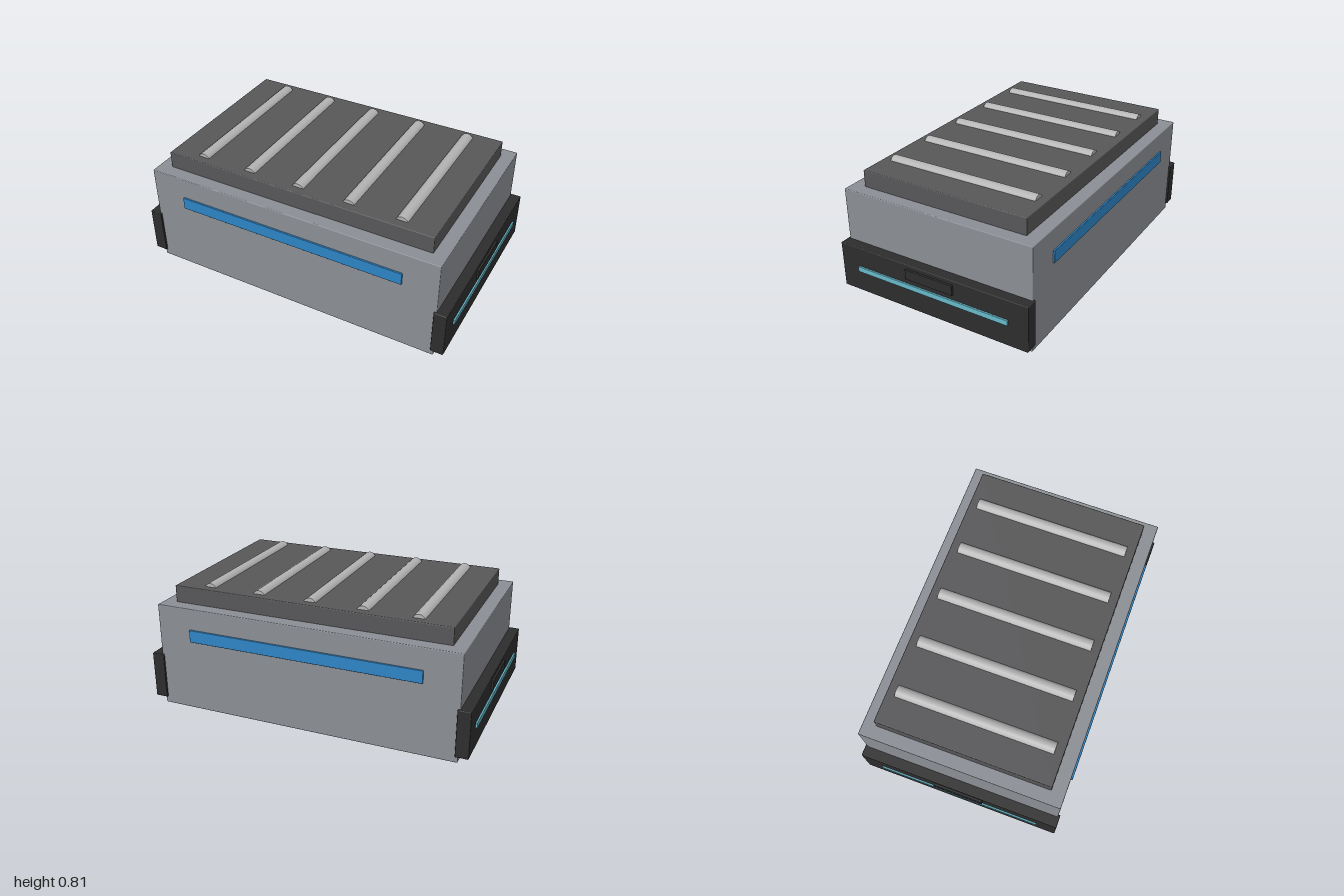
import * as THREE from 'three';
import { RoundedBoxGeometry } from 'three/addons/geometries/RoundedBoxGeometry.js';

const mat = (name, color) => {
  const m = new THREE.MeshStandardMaterial({ color });
  m.name = name;
  return m;
};

export function createModel() {
  const group = new THREE.Group();
  const grey = mat('body grey', 0x8b8e94);
  const lidGrey = mat('lid grey', 0x575759);
  const black = mat('bumper black', 0x2d2d2d);
  const silver = mat('rib silver', 0xb4b4b4);
  const footGrey = mat('foot grey', 0x9a9a9a);
  const blue = mat('stripe blue', 0x2d84c5);
  const cyan = mat('light cyan', 0x66b9c9);

  const add = (name, geometry, material, x, y, z) => {
    const mesh = new THREE.Mesh(geometry, material);
    mesh.name = name;
    mesh.position.set(x, y, z);
    group.add(mesh);
    return mesh;
  };
  // Box given by its extents, with finely softened edges
  const box = (name, material, [x0, x1], [y0, y1], [z0, z1], r = 0.005) =>
    add(name, new RoundedBoxGeometry(x1 - x0, y1 - y0, z1 - z0, 2, r), material,
      (x0 + x1) / 2, (y0 + y1) / 2, (z0 + z1) / 2);
  // Rod lying along z
  const rod = (name, material, radius, length, x, y, z) =>
    add(name, new THREE.CylinderGeometry(radius, radius, length, 16).rotateX(Math.PI / 2),
      material, x, y, z);

  // Case and raised lid
  box('body', grey, [-0.925, 0.925], [0.038, 0.683], [-0.608, 0.608]);
  box('lid', lidGrey, [-0.847, 0.847], [0.68, 0.785], [-0.527, 0.527]);

  // Half-sunk ribs across the lid
  for (let i = -2; i <= 2; i++) rod('lidRib', silver, 0.04, 0.95, i * 0.319, 0.768, 0);

  // Front and back stripes
  for (const s of [-1, 1]) {
    const z = [s * 0.602, s * 0.618].sort((a, b) => a - b);
    box('stripe', blue, [-0.715, 0.715], [0.477, 0.553], z, 0.003);
  }

  // End bumpers with grip and light strip
  for (const s of [-1, 1]) {
    const span = (a, b) => (s > 0 ? [a, b] : [-b, -a]);
    box('bumper', black, span(0.91, 0.987), [0.078, 0.364], [-0.62, 0.62]);
    box('grip', black, span(0.98, 1), [0.276, 0.339], [-0.156, 0.156], 0.003);
    box('lightStrip', cyan, span(0.98, 0.997), [0.21, 0.244], [-0.5, 0.5], 0.003);
    // Roller feet
    for (const t of [-1, 1]) rod('foot', footGrey, 0.055, 0.11, s * 0.612, 0.055, t * 0.477);
  }
  return group;
}
